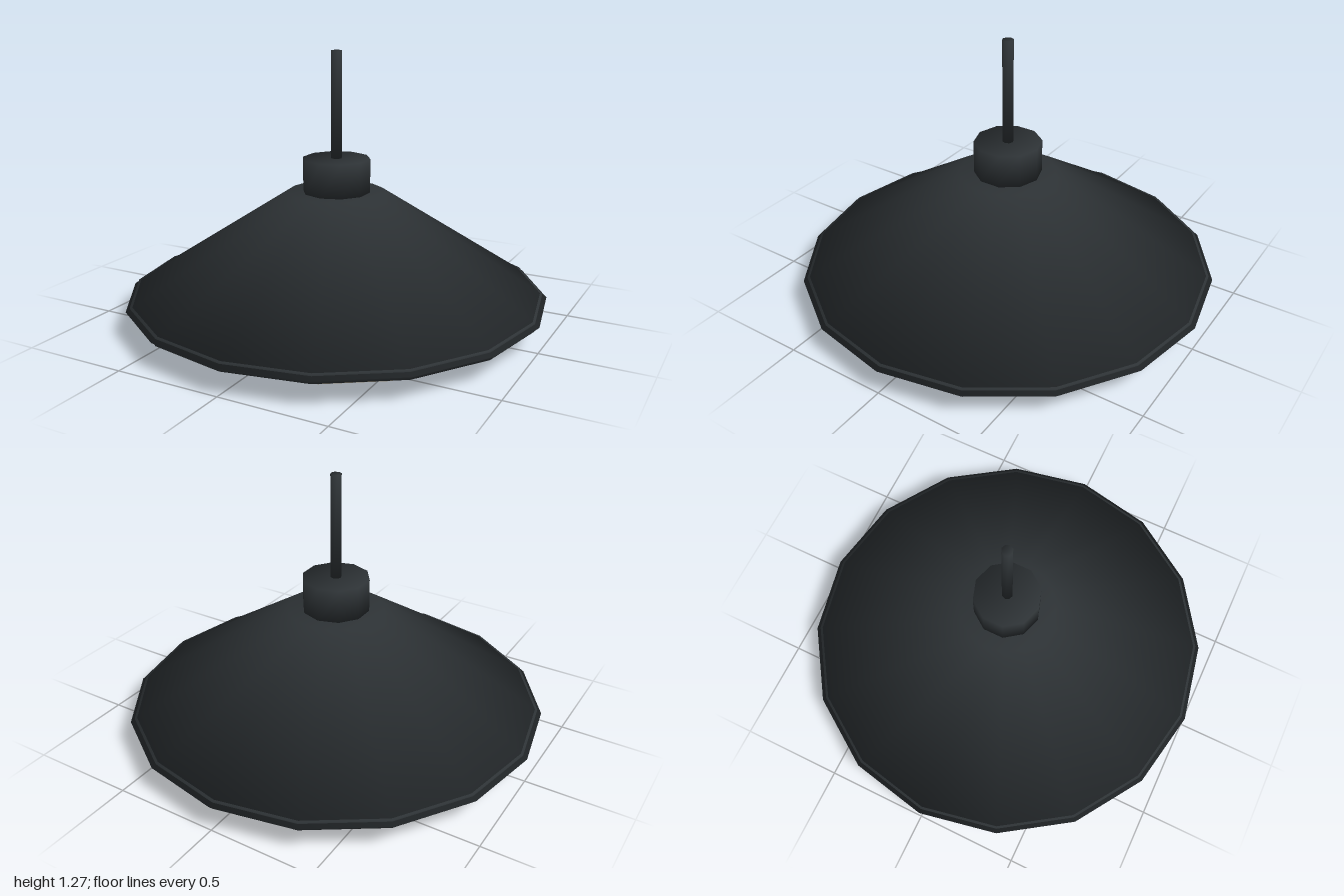
import * as THREE from 'three';

export function createModel() {
  const lamp = new THREE.Group();
  const dark = new THREE.MeshStandardMaterial({ color: 0x2d3235 });
  const cream = new THREE.MeshStandardMaterial({ color: 0xf0e4c8 });

  // Closed frustum whose normals are shared between sides and caps,
  // so the shading rolls softly over both edges.
  function frustum(name, r0, y0, r1, y1, sides, material) {
    const position = [], normal = [], index = [];
    const side = new THREE.Vector2(y1 - y0, r0 - r1).normalize();
    for (const [r, y, capY] of [[r0, y0, -1], [r1, y1, 1]]) {
      const n = new THREE.Vector2(side.x, side.y + capY).normalize();
      for (let i = 0; i < sides; i++) {
        const a = (i / sides) * Math.PI * 2;
        position.push(r * Math.sin(a), y, r * Math.cos(a));
        normal.push(n.x * Math.sin(a), n.y, n.x * Math.cos(a));
      }
    }

    // Side wall
    for (let i = 0; i < sides; i++) {
      const j = (i + 1) % sides;
      index.push(i, j, sides + j, i, sides + j, sides + i);
    }

    // Both caps, filled with a zigzag strip
    const capFace = (a, b, c) => {
      const [p, q, s] = [a % sides, b % sides, c % sides];
      index.push(sides + p, sides + q, sides + s, s, q, p);
    };
    let lo = 2, hi = sides + 1;
    while (hi - lo >= 2) {
      capFace(lo, lo + 1, hi);
      lo++;
      if (hi - lo >= 2) capFace(lo, hi - 1, hi);
      hi--;
    }

    const geometry = new THREE.BufferGeometry();
    geometry.setAttribute('position', new THREE.Float32BufferAttribute(position, 3));
    geometry.setAttribute('normal', new THREE.Float32BufferAttribute(normal, 3));
    geometry.setIndex(index);
    const mesh = new THREE.Mesh(geometry, material);
    mesh.name = name;
    lamp.add(mesh);
  }

  // Light diffuser floating just below the shade
  frustum('diffuser', 0.775, 0, 0.775, 0.07, 16, cream);

  // Conical shade with a thin rim band
  frustum('rim', 0.98, 0.1, 0.98, 0.14, 16, dark);
  frustum('shade', 1, 0.12, 0.23, 0.615, 16, dark);

  // Socket cap and hanging rod
  frustum('socketCap', 0.16, 0.615, 0.16, 0.775, 10, dark);
  frustum('rod', 0.026, 0.775, 0.026, 1.275, 8, dark);

  return lamp;
}
